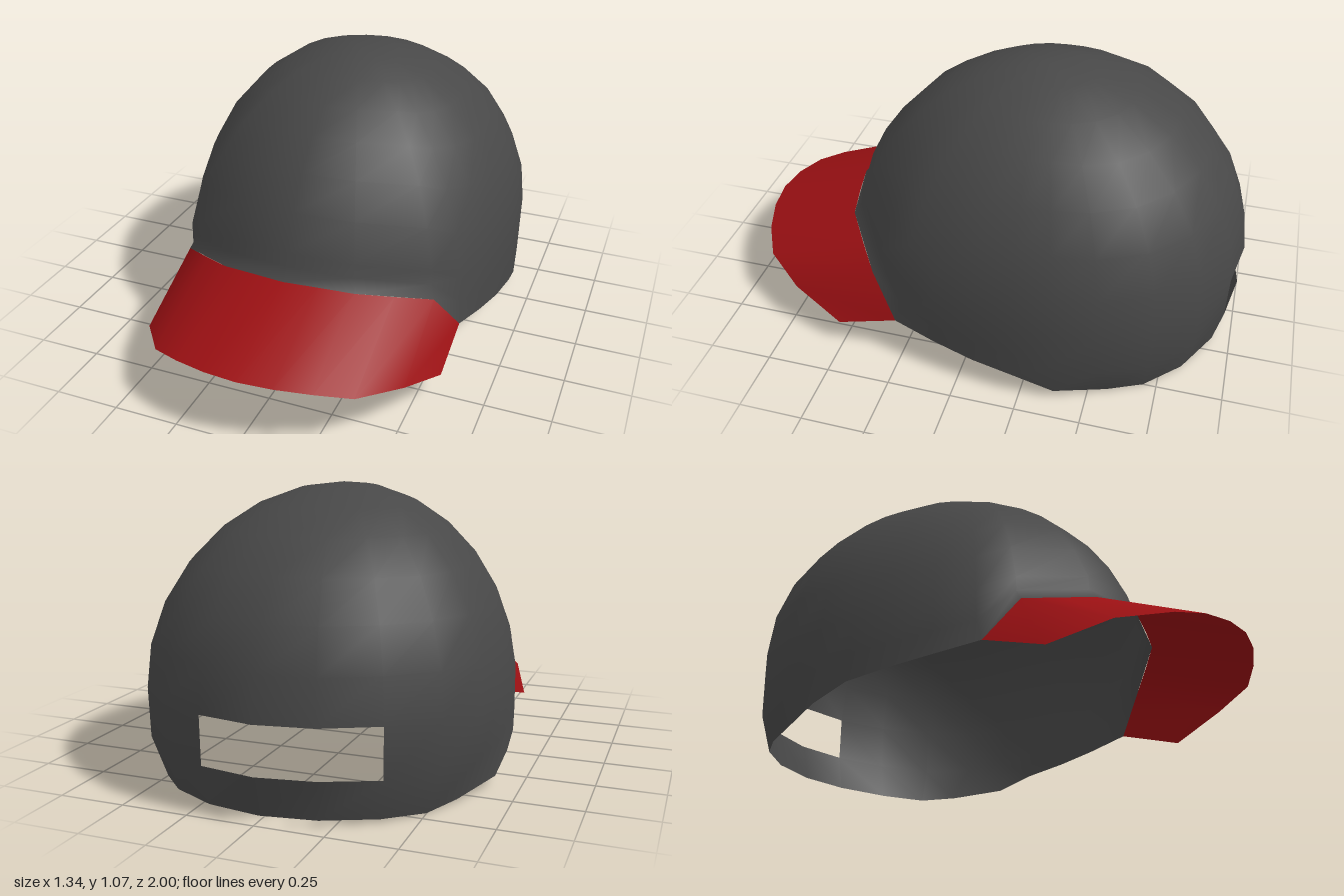
import * as THREE from 'three';

const CROWN_TOP = new THREE.Vector3(0, 1.065, -0.18);

// Half of the crown, back to front: rim point, base point above it, starting angle of the dome arc
const COLUMNS = [
  [[0, 0.02, -0.96], [0, 0.345, -1], 0],
  [[0.2, 0.02, -0.93], [0.21, 0.345, -0.965], 0],
  [[0.38, 0.012, -0.83], [0.405, 0.345, -0.87], 0],
  [[0.5, 0, -0.7], [0.56, 0.34, -0.72], 0],
  [[0.57, 0.01, -0.57], [0.645, 0.33, -0.53], 0],
  [[0.66, 0.04, -0.38], [0.67, 0.33, -0.36], 0],
  [[0.67, 0.09, -0.23], [0.672, 0.32, -0.22], 0],
  [[0.655, 0.115, -0.06], [0.655, 0.32, -0.06], 0],
  [[0.625, 0.14, 0.1], [0.625, 0.33, 0.1], 0.1],
  [[0.585, 0.17, 0.27], [0.575, 0.36, 0.24], 0.25],
  [[0.51, 0.33, 0.38], [0.49, 0.43, 0.35], 0.35],
  [[0.26, 0.4, 0.55], [0.245, 0.5, 0.515], 0.43],
  [[0, 0.42, 0.6], [0, 0.52, 0.56], 0.45],
];

// Half of the brim, centre to side: inner edge point, outer edge point
const BRIM = [
  [[0, 0.42, 0.6], [0, 0.26, 1]],
  [[0.13, 0.412, 0.577], [0.13, 0.255, 0.985]],
  [[0.26, 0.4, 0.55], [0.26, 0.24, 0.945]],
  [[0.385, 0.365, 0.467], [0.385, 0.21, 0.88]],
  [[0.51, 0.33, 0.38], [0.51, 0.175, 0.72]],
  [[0.585, 0.17, 0.27], [0.585, 0.1, 0.51]],
];

function surface(name, positions, index, color) {
  const geometry = new THREE.BufferGeometry();
  geometry.setAttribute('position', new THREE.Float32BufferAttribute(positions, 3));
  geometry.setIndex(index);
  geometry.computeVertexNormals();
  const material = new THREE.MeshStandardMaterial({ color, side: THREE.DoubleSide });
  const mesh = new THREE.Mesh(geometry, material);
  mesh.name = name;
  return mesh;
}

// Points of one column from the rim up to just below the top
function columnPoints(k, steps) {
  const [r, b, start] = COLUMNS[Math.abs(k)];
  const side = k < 0 ? -1 : 1;
  const rim = new THREE.Vector3(r[0] * side, r[1], r[2]);
  const base = new THREE.Vector3(b[0] * side, b[1], b[2]);
  const middle = rim.clone().lerp(base, 0.9);
  middle.y = THREE.MathUtils.lerp(rim.y, base.y, 0.45);
  const points = [rim, middle, base];
  for (let i = 1; i < steps; i++) {
    const angle = THREE.MathUtils.lerp(start, Math.PI / 2, i / steps);
    const spread = Math.cos(angle) / Math.cos(start);
    const rise = (Math.sin(angle) - Math.sin(start)) / (1 - Math.sin(start));
    const p = CROWN_TOP.clone().lerp(base, spread);
    p.y = THREE.MathUtils.lerp(base.y, CROWN_TOP.y, rise);
    points.push(p);
  }
  return points;
}

// Dome with an opening at the back
function createCrown() {
  const steps = 7, rows = steps + 2, half = COLUMNS.length - 1, around = 2 * half;
  const positions = [], index = [];
  for (let k = 1 - half; k <= half; k++) {
    for (const p of columnPoints(k, steps)) positions.push(p.x, p.y, p.z);
  }
  const top = positions.length / 3;
  positions.push(...CROWN_TOP.toArray());

  for (let j = 0; j < around; j++) {
    const k = j + 1 - half;
    const here = j * rows, next = ((j + 1) % around) * rows;
    for (let i = 0; i < rows - 1; i++) {
      const opening = i === 1 && k >= -2 && k <= 0;
      if (opening) continue;
      const a = here + i, b = next + i;
      index.push(a, a + 1, b, b, a + 1, b + 1);
    }
    index.push(here + rows - 1, top, next + rows - 1);
  }
  return surface('crown', positions, index, 0x484848);
}

// Thin curved strip along the front of the crown
function createBrim() {
  const positions = [], index = [], half = BRIM.length - 1;
  for (let k = -half; k <= half; k++) {
    const side = k < 0 ? -1 : 1;
    for (const [x, y, z] of BRIM[Math.abs(k)]) positions.push(x * side, y, z);
  }
  for (let j = 0; j < 2 * half; j++) {
    const a = 2 * j;
    index.push(a, a + 1, a + 2, a + 2, a + 1, a + 3);
  }
  return surface('brim', positions, index, 0x9c1013);
}

export function createModel() {
  const cap = new THREE.Group();
  cap.name = 'cap';
  cap.add(createCrown(), createBrim());
  return cap;
}
